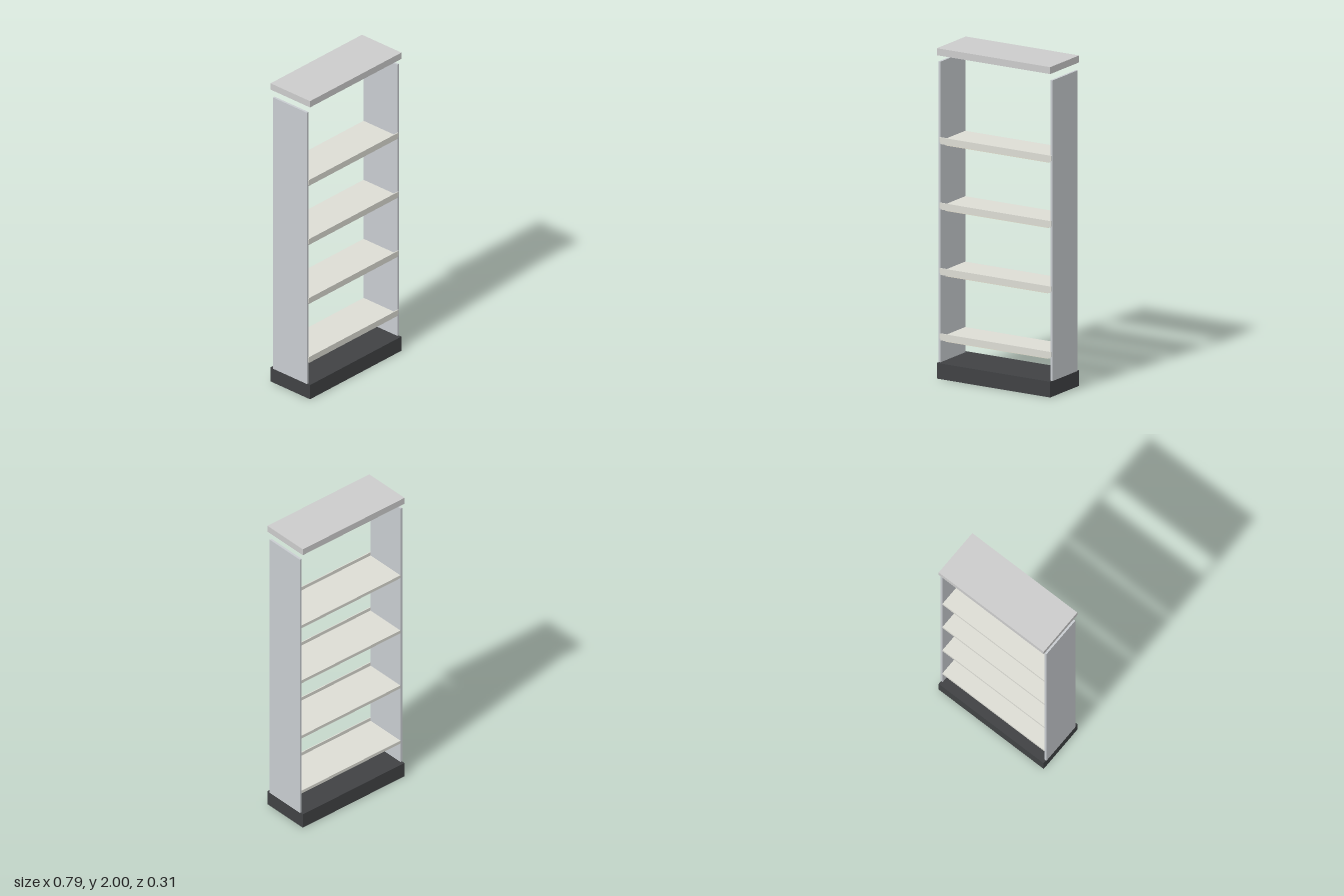
import * as THREE from 'three';

const paint = (color) => new THREE.MeshStandardMaterial({ color });

export function createModel() {
  const unit = new THREE.Group();
  unit.name = 'shelfUnit';

  const mats = {
    canopy: paint(0xcccccc),
    panel: paint(0xc8ccd0),
    shelf: paint(0xdcdcd4),
    strip: paint(0xe0dccc),
    base: paint(0x404244),
  };

  // Box given by its size, its bottom height and its centre in x and z
  function box(parent, name, mat, [w, h, d], bottom, x = 0, z = 0) {
    const mesh = new THREE.Mesh(new THREE.BoxGeometry(w, h, d), mat);
    mesh.name = name;
    mesh.position.set(x, bottom + h / 2, z);
    parent.add(mesh);
  }

  // Plinth and floating top board
  box(unit, 'base', mats.base, [0.788, 0.095, 0.314], 0);
  box(unit, 'topBoard', mats.canopy, [0.788, 0.042, 0.314], 1.958);

  // Upright side panels
  for (const side of [1, -1]) {
    box(unit, side > 0 ? 'leftPanel' : 'rightPanel', mats.panel,
      [0.014, 1.82, 0.269], 0.095, side * 0.39);
  }

  // Four evenly spaced shelves with a raised front lip and a strip beneath
  for (let i = 0; i < 4; i++) {
    const shelf = new THREE.Group();
    shelf.name = `shelf${i + 1}`;
    shelf.position.y = 0.228 + i * 0.396;
    box(shelf, 'board', mats.shelf, [0.768, 0.02, 0.268], 0);
    box(shelf, 'frontLip', mats.shelf, [0.776, 0.031, 0.006], 0.011, 0, 0.135);
    box(shelf, 'underStrip', mats.strip, [0.71, 0.007, 0.015], -0.007, 0, 0.115);
    unit.add(shelf);
  }

  return unit;
}
